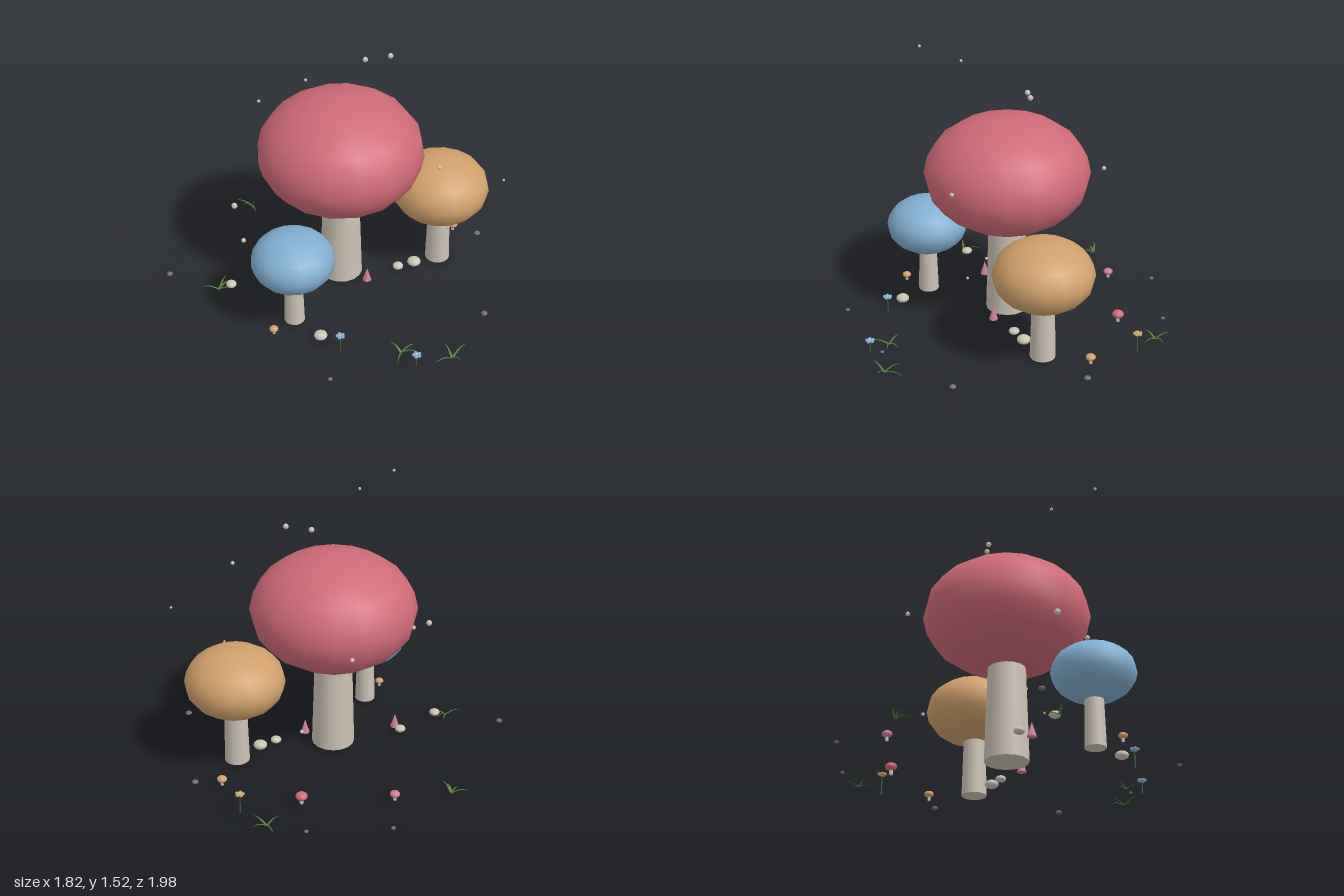
import * as THREE from 'three';

const mat = (name, color, side = THREE.FrontSide) => {
  const m = new THREE.MeshStandardMaterial({ color, side });
  m.name = name;
  return m;
};

export function createModel() {
  const red = mat('rose red', 0xcf6a78);
  const tan = mat('tan orange', 0xd0a06c);
  const blue = mat('soft blue', 0x82aed0);
  const cream = mat('cream', 0xcbc2b5);
  const pink = mat('pink', 0xcb7f97);
  const grey = mat('pebble grey', 0x716c68);
  const green = mat('leaf green', 0x4f7a38, THREE.DoubleSide);
  const dark = mat('stalk green', 0x45603a);

  const model = new THREE.Group();
  model.name = 'mushroomGarden';

  const group = (name, x = 0, z = 0) => {
    const g = new THREE.Group();
    g.name = name;
    g.position.set(x, 0, z);
    model.add(g);
    return g;
  };
  const add = (parent, name, geo, material, x, y, z) => {
    const m = new THREE.Mesh(geo, material);
    m.name = name;
    m.position.set(x, y, z);
    parent.add(m);
    return m;
  };
  const ball = (r, ry = r, w = 16, h = 10) => new THREE.SphereGeometry(1, w, h).scale(r, ry, r);

  // Three big mushrooms: tapered stem up to the middle of an oval cap
  const mushroom = (name, x, z, capR, capRy, capY, rTop, rBottom, material) => {
    const g = group(name, x, z);
    const base = 0.017;
    add(g, 'stem', new THREE.CylinderGeometry(rTop, rBottom, capY - base, 16), cream, 0, (capY + base) / 2, 0);
    add(g, 'cap', ball(capR, capRy), material, 0, capY, 0);
  };
  mushroom('largeMushroom', -0.042, -0.063, 0.478, 0.333, 0.892, 0.098, 0.125, red);
  mushroom('mediumMushroom', 0.497, 0.187, 0.287, 0.2, 0.541, 0.06, 0.073, tan);
  mushroom('smallMushroom', -0.523, 0.132, 0.238, 0.166, 0.454, 0.048, 0.06, blue);

  // Tiny mushrooms on the ground
  [
    [-0.69, 0.165, 0.026, 0.05, tan], [0.738, 0.05, 0.029, 0.055, tan],
    [0.157, -0.74, 0.029, 0.055, pink], [0.545, -0.395, 0.035, 0.063, red],
  ].forEach(([x, z, r, y, material]) => {
    const g = group('tinyMushroom', x, z);
    add(g, 'tinyStem', new THREE.CylinderGeometry(r * 0.25, r * 0.33, y - 0.015, 8), cream, 0, (y + 0.015) / 2, 0);
    add(g, 'tinyCap', ball(r, r * 0.66, 12, 8), material, 0, y, 0);
  });

  // Pink cones
  [[-0.405, -0.226], [0.02, 0.11]].forEach(([x, z]) =>
    add(model, 'cone', new THREE.ConeGeometry(0.027, 0.085, 8), pink, x, 0.06, z));

  // Pale rocks: x, z, radius
  [
    [-0.664, -0.317, 0.032], [-0.503, 0.36, 0.039], [-0.38, -0.293, 0.032],
    [0.227, 0.145, 0.032], [0.33, 0.17, 0.041],
  ].forEach(([x, z, r]) => add(model, 'rock', ball(r, r * 0.62, 12, 8), cream, x, 0.041, z));

  // Dark pebbles: x, z, radius
  [
    [-0.894, -0.637, 0.019], [0.36, -0.915, 0.014], [0.714, -0.603, 0.013], [0.83, 0.175, 0.02],
    [-0.656, 0.659, 0.014], [0.376, 0.762, 0.02], [-0.16, 0.81, 0.012],
  ].forEach(([x, z, r]) => add(model, 'pebble', ball(r, r * 0.62, 8, 6), grey, x, 0.02, z));

  // Flowers: thin stalk, centre and five round petals
  [[-0.47, 0.503, 0.122, blue], [-0.207, 0.857, 0.095, blue], [0.845, -0.22, 0.139, tan]].forEach(([x, z, y, material]) => {
    const g = group('flower', x, z);
    add(g, 'stalk', new THREE.CylinderGeometry(0.003, 0.004, y - 0.015, 6), dark, 0, (y + 0.015) / 2, 0);
    add(g, 'flowerCentre', ball(0.009, 0.009, 8, 6), cream, 0, y + 0.002, 0);
    for (let i = 0; i < 5; i++) {
      const a = (i / 5) * Math.PI * 2;
      add(g, 'petal', ball(0.0115, 0.009, 8, 6), material, Math.cos(a) * 0.017, y, Math.sin(a) * 0.017);
    }
  });

  // A grass blade: tapering, slightly folded ribbon arching out to its tip
  const blade = (dx, dz) => {
    const geo = new THREE.PlaneGeometry(1, 1, 2, 6);
    const p = geo.attributes.position;
    const len = Math.hypot(dx, dz);
    for (let i = 0; i < p.count; i++) {
      const side = p.getX(i) * 2;
      const t = p.getY(i) + 0.5;
      const w = 0.0075 * side * Math.pow(1 - t, 0.7);
      const y = 0.015 + 0.03 * Math.sin(t * 2.3) - 0.004 * Math.abs(side) * (1 - t) - 0.008 * t;
      p.setXYZ(i, dx * t - (dz / len) * w, y, dz * t + (dx / len) * w);
    }
    geo.computeVertexNormals();
    return geo;
  };

  // Grass tufts: root x, root z, then tip offsets of each blade
  [
    [-0.122, -0.915, [[-0.065, -0.08], [-0.053, -0.01], [-0.032, 0.1], [-0.026, 0.053], [0.015, 0.02]]],
    [-0.73, -0.35, [[-0.08, -0.058], [0.095, -0.063], [0.06, 0.068], [0.085, -0.01]]],
    [0.82, -0.407, [[0.04, -0.09], [-0.085, -0.005], [0.085, 0.026], [0.01, 0.11]]],
    [-0.206, 0.72, [[-0.012, -0.09], [-0.085, 0.074], [0.063, 0.07], [0.095, 0.01]]],
    [-0.005, 0.926, [[0.026, -0.106], [-0.116, -0.01], [0.126, -0.026], [0.01, 0.06]]],
  ].forEach(([x, z, tips]) => {
    const g = group('grassTuft', x, z);
    tips.forEach(([dx, dz]) => add(g, 'grassBlade', blade(dx, dz), green, 0, 0, 0));
  });

  // Floating spores: x, y, z, radius
  [
    [-0.648, 1.523, 0.048, 0.009], [-0.33, 1.514, 0.018, 0.009], [0.124, 1.434, -0.055, 0.016],
    [0.232, 1.461, 0.032, 0.016], [0.165, 1.037, 0.553, 0.012], [0.545, 0.847, 0.665, 0.008],
    [-0.642, 0.646, -0.265, 0.018], [0.263, 0.563, 0.537, 0.008], [0.286, 0.876, -0.523, 0.013],
    [0.423, 0.376, -0.276, 0.011], [-0.697, 0.53, -0.098, 0.014],
  ].forEach(([x, y, z, r]) => add(model, 'spore', ball(r, r, 8, 6), cream, x, y, z));

  return model;
}
